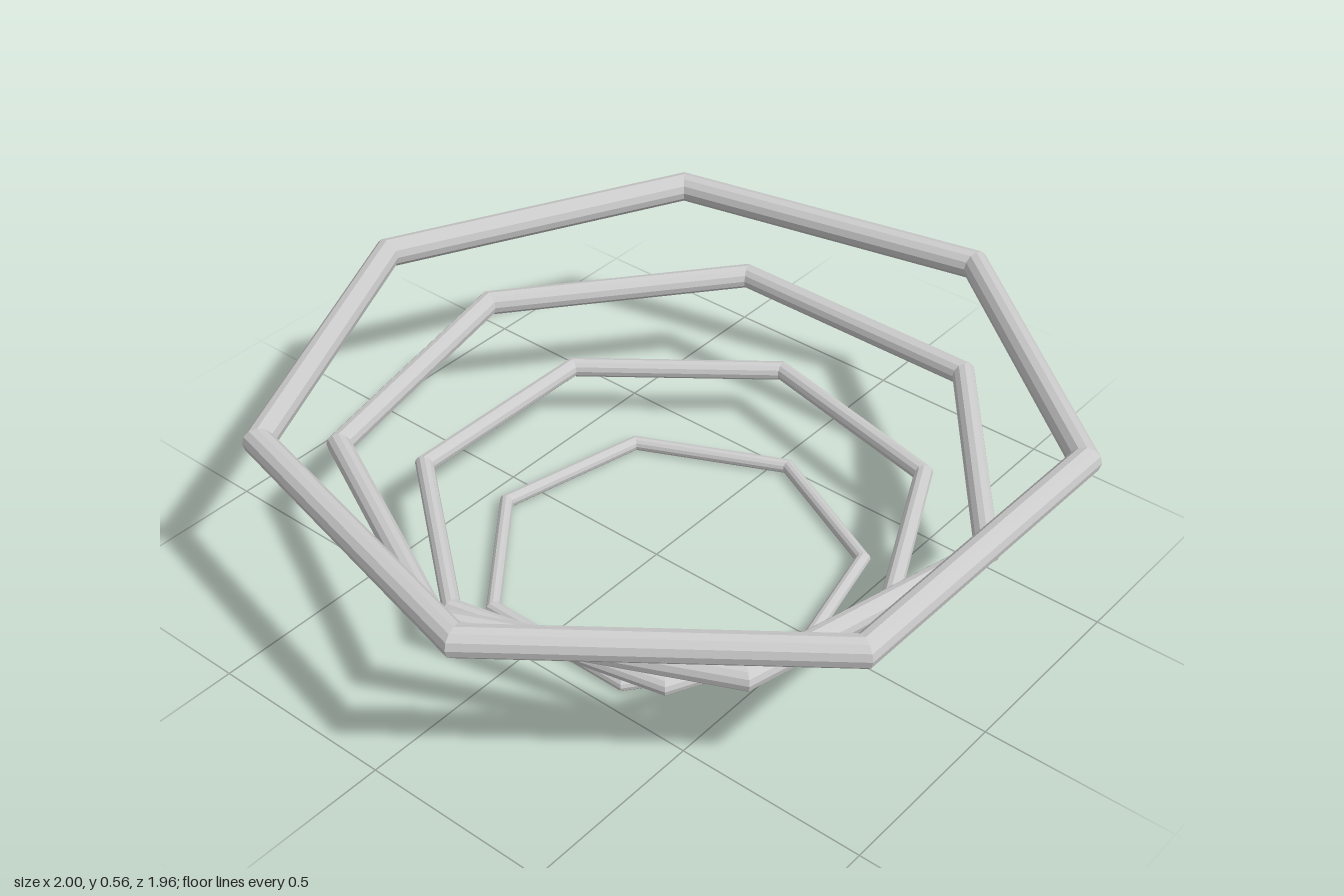
import * as THREE from 'three';

export function createModel() {
  const group = new THREE.Group();
  const material = new THREE.MeshStandardMaterial({ color: 0xcccccc, flatShading: true });

  // Four seven-sided rings, each wider, thicker, higher and twisted further than the last
  for (let i = 0; i < 4; i++) {
    const tube = 0.0195 + 0.0065 * i;
    const radius = 0.4855 + 0.167 * i;
    const geometry = new THREE.TorusGeometry(radius, tube, 12, 7);
    geometry.rotateZ(-0.22 * i);
    geometry.rotateX(Math.PI / 2);
    const ring = new THREE.Mesh(geometry, material);
    ring.name = `ring${i + 1}`;
    ring.position.set(0.003, 0.0195 + 0.167 * i, 0.048);
    group.add(ring);
  }
  return group;
}
